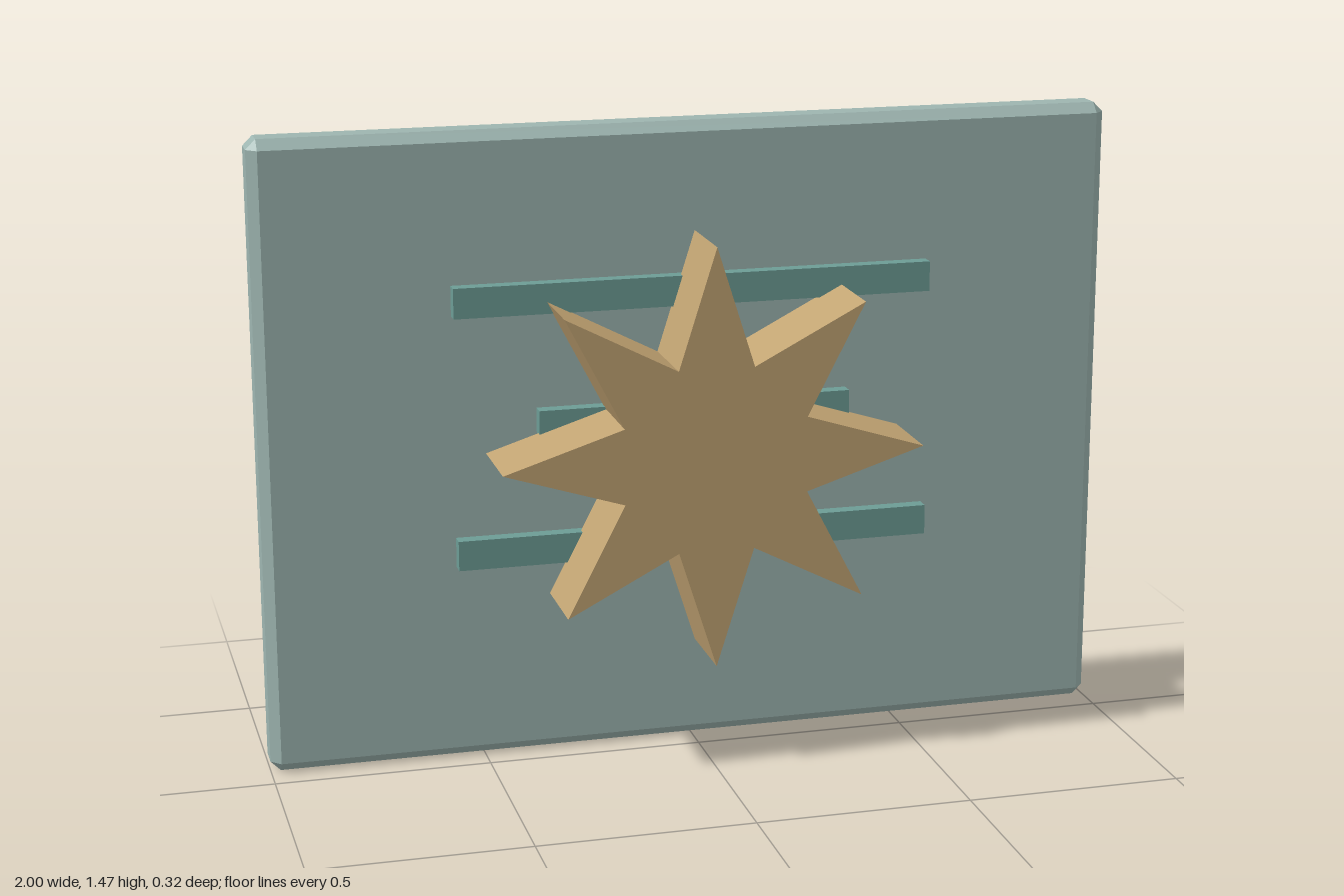
import * as THREE from 'three';
import { ConvexGeometry } from 'three/addons/geometries/ConvexGeometry.js';

const mat = (name, color) => {
  const m = new THREE.MeshStandardMaterial({ color });
  m.name = name;
  return m;
};

// Box with every edge cut by a flat chamfer
function chamferedBox(w, h, d, c) {
  const half = [w / 2, h / 2, d / 2];
  const points = [];
  for (const sx of [-1, 1]) for (const sy of [-1, 1]) for (const sz of [-1, 1]) {
    for (let full = 0; full < 3; full++) {
      const [x, y, z] = half.map((v, i) => (i === full ? v : v - c));
      points.push(new THREE.Vector3(sx * x, sy * y, sz * z));
    }
  }
  return new ConvexGeometry(points);
}

// Extruded star with one tip pointing straight up
function star(tips, outer, inner, depth) {
  const points = [];
  for (let i = 0; i < tips * 2; i++) {
    const a = Math.PI / 2 + (i * Math.PI) / tips;
    const r = i % 2 ? inner : outer;
    points.push(new THREE.Vector2(r * Math.cos(a), r * Math.sin(a)));
  }
  return new THREE.ExtrudeGeometry(new THREE.Shape(points), { depth, bevelEnabled: false });
}

export function createModel() {
  const group = new THREE.Group();
  const add = (name, geometry, material, x, y, z) => {
    const mesh = new THREE.Mesh(geometry, material);
    mesh.name = name;
    mesh.position.set(x, y, z);
    group.add(mesh);
  };
  const panelMat = mat('pale grey green', 0x9db5b0);
  const barMat = mat('teal', 0x6c9c95);
  const starMat = mat('tan', 0xc2a473);

  // Backing panel
  add('panel', chamferedBox(2, 1.472, 0.102, 0.023), panelMat, 0, 0.736, -0.109);

  // Horizontal bars, the middle one shorter
  const bars = [['topBar', 1.12, 1.092], ['middleBar', 0.736, 0.797], ['bottomBar', 1.12, 0.502]];
  for (const [name, width, y] of bars) {
    add(name, new THREE.BoxGeometry(width, 0.07, 0.033), barMat, 0, y, -0.036);
  }

  // Eight-pointed star in front
  add('star', star(8, 0.49, 0.23, 0.195), starMat, 0, 0.738, -0.034);

  return group;
}
